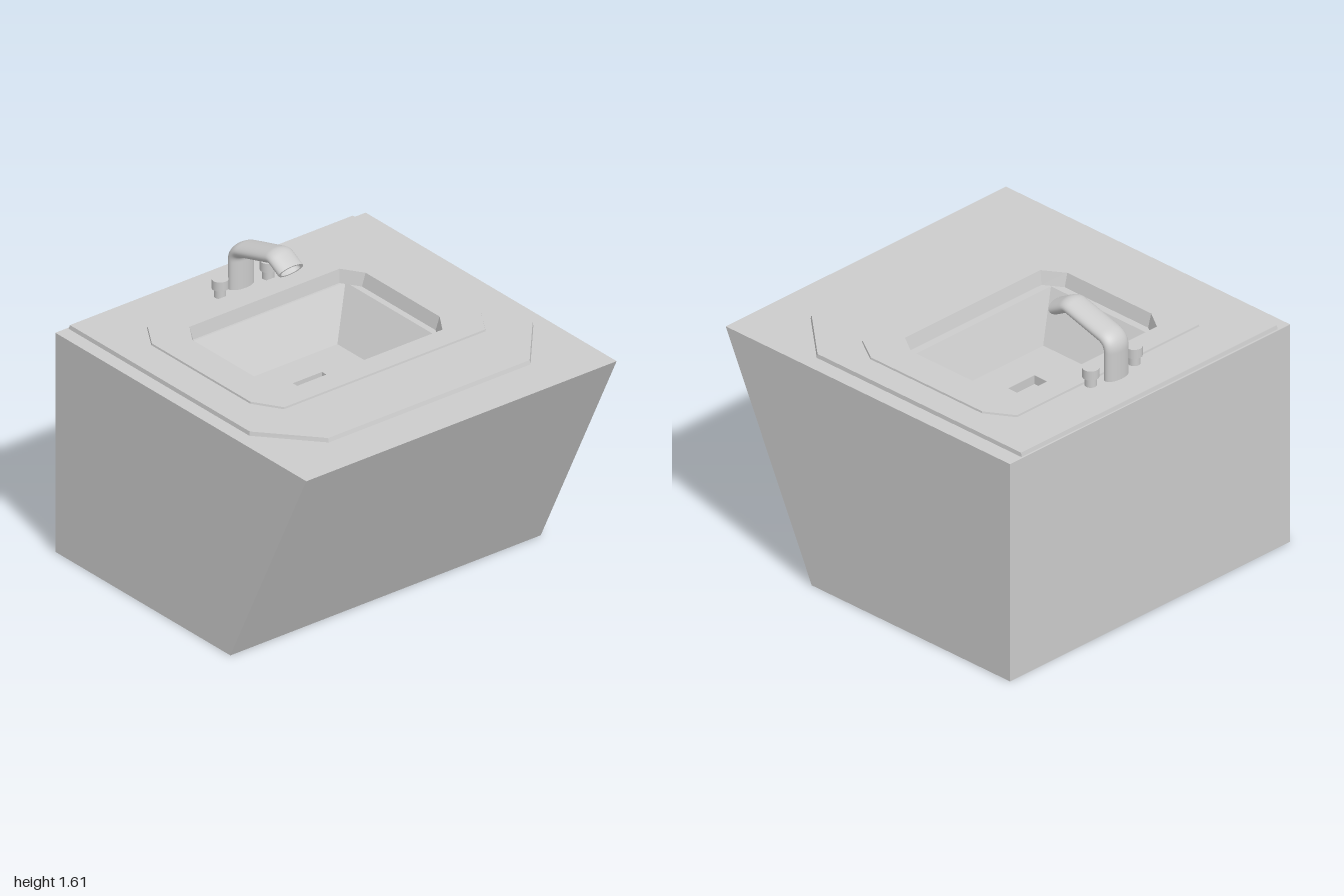
import * as THREE from 'three';

const material = new THREE.MeshStandardMaterial({ color: 0xcccccc, side: THREE.DoubleSide });

function add(parent, name, geometry) {
  const mesh = new THREE.Mesh(geometry, material);
  mesh.name = name;
  parent.add(mesh);
  return mesh;
}

// Eight-point level loop: a rectangle with corners cut by cx, cz (left corners by lx, lz).
function loop(y, x0, x1, z0, z1, cx = 0, cz = 0, lx = cx, lz = cz) {
  return [
    [x1 - cx, y, z1], [x1, y, z1 - cz], [x1, y, z0 + cz], [x1 - cx, y, z0],
    [x0 + lx, y, z0], [x0, y, z0 + lz], [x0, y, z1 - lz], [x0 + lx, y, z1],
  ];
}

// Flat-faced skin through successive loops, each seen as outer/lower then inner/upper.
function loft(loops) {
  const positions = [];
  for (let k = 0; k + 1 < loops.length; k++) {
    const a = loops[k], b = loops[k + 1];
    for (let i = 0; i < 8; i++) {
      const j = (i + 1) % 8;
      positions.push(...a[i], ...a[j], ...b[j], ...a[i], ...b[j], ...b[i]);
    }
  }
  const geometry = new THREE.BufferGeometry();
  geometry.setAttribute('position', new THREE.Float32BufferAttribute(positions, 3));
  geometry.computeVertexNormals();
  return geometry;
}

function faucet() {
  const group = new THREE.Group();
  group.name = 'faucet';
  const v = (x, y) => new THREE.Vector3(x, y, 0);

  // Spout path: upright, rounded elbow, rising arm, bent-down nozzle
  const path = new THREE.CurvePath();
  path.add(new THREE.LineCurve3(v(-0.775, 1.25), v(-0.775, 1.43)));
  path.add(new THREE.QuadraticBezierCurve3(v(-0.775, 1.43), v(-0.775, 1.485), v(-0.72, 1.501)));
  path.add(new THREE.LineCurve3(v(-0.72, 1.501), v(-0.49, 1.566)));
  path.add(new THREE.QuadraticBezierCurve3(v(-0.49, 1.566), v(-0.468, 1.573), v(-0.448, 1.56)));
  const tip = v(-0.377, 1.521), inside = v(-0.425, 1.547);
  path.add(new THREE.LineCurve3(v(-0.448, 1.56), tip));
  add(group, 'spout', new THREE.TubeGeometry(path, 80, 0.04, 32));

  // Hollow nozzle end
  const bore = new THREE.LineCurve3(tip, inside);
  add(group, 'nozzleBore', new THREE.TubeGeometry(bore, 1, 0.032, 32));
  const aim = tip.clone().sub(inside).normalize();
  const turn = new THREE.Quaternion().setFromUnitVectors(new THREE.Vector3(0, 0, 1), aim);
  const lip = add(group, 'nozzleLip', new THREE.RingGeometry(0.032, 0.04, 32));
  lip.position.copy(tip);
  lip.quaternion.copy(turn);
  const back = add(group, 'nozzleBack', new THREE.CircleGeometry(0.032, 32));
  back.position.copy(inside);
  back.quaternion.copy(turn);

  // Oval section, wider across the basin
  group.scale.z = 1.95;
  group.position.z = -0.014;
  return group;
}

function tap(name, z) {
  const group = new THREE.Group();
  group.name = name;
  add(group, 'tapStem', new THREE.CylinderGeometry(0.031, 0.031, 0.07, 32)).position.y = 1.29;
  add(group, 'tapKnob', new THREE.CylinderGeometry(0.043, 0.043, 0.052, 32)).position.y = 1.346;
  group.position.set(-0.748, 0, z);
  return group;
}

export function createModel() {
  const model = new THREE.Group();

  const counterFoot = loop(1.25, -0.99, 0.755, -0.908, 0.922, 0.305, 0.265, 0, 0);
  const counterTop = loop(1.272, -0.985, 0.748, -0.905, 0.918, 0.3, 0.262, 0, 0);
  const rimFoot = loop(1.272, -0.717, 0.375, -0.757, 0.733, 0.152, 0.095);
  const rimTop = loop(1.282, -0.715, 0.373, -0.755, 0.731, 0.152, 0.095);
  const rimInner = loop(1.282, -0.58, 0.24, -0.567, 0.55, 0.115, 0.075);

  // Cabinet with a sloping right side, open under the counter
  add(model, 'cabinet', loft([
    loop(0, -0.3, -0.3, 0, 0),
    loop(0, -1, 0.395, -1, 1),
    loop(1.25, -1, 1, -1, 1),
    counterFoot,
  ]));

  // Thin raised counter slab and basin rim
  add(model, 'counter', loft([counterFoot, counterTop, rimFoot]));
  add(model, 'basinRim', loft([rimFoot, rimTop, rimInner]));

  // Basin: short throat, ledge, tapering walls, floor and square drain
  add(model, 'basin', loft([
    rimInner,
    loop(1.21, -0.567, 0.22, -0.545, 0.527, 0.1, 0.065),
    loop(1.21, -0.555, 0.176, -0.51, 0.485),
    loop(0.97, -0.418, 0.078, -0.347, 0.33),
    loop(0.97, -0.24, -0.103, -0.104, 0.084),
  ]));
  add(model, 'drain', loft([
    loop(0.97, -0.24, -0.103, -0.104, 0.084),
    loop(0.92, -0.24, -0.103, -0.104, 0.084),
    loop(0.92, -0.17, -0.17, -0.01, -0.01),
  ]));

  model.add(faucet(), tap('rearTap', -0.168), tap('frontTap', 0.142));
  return model;
}
